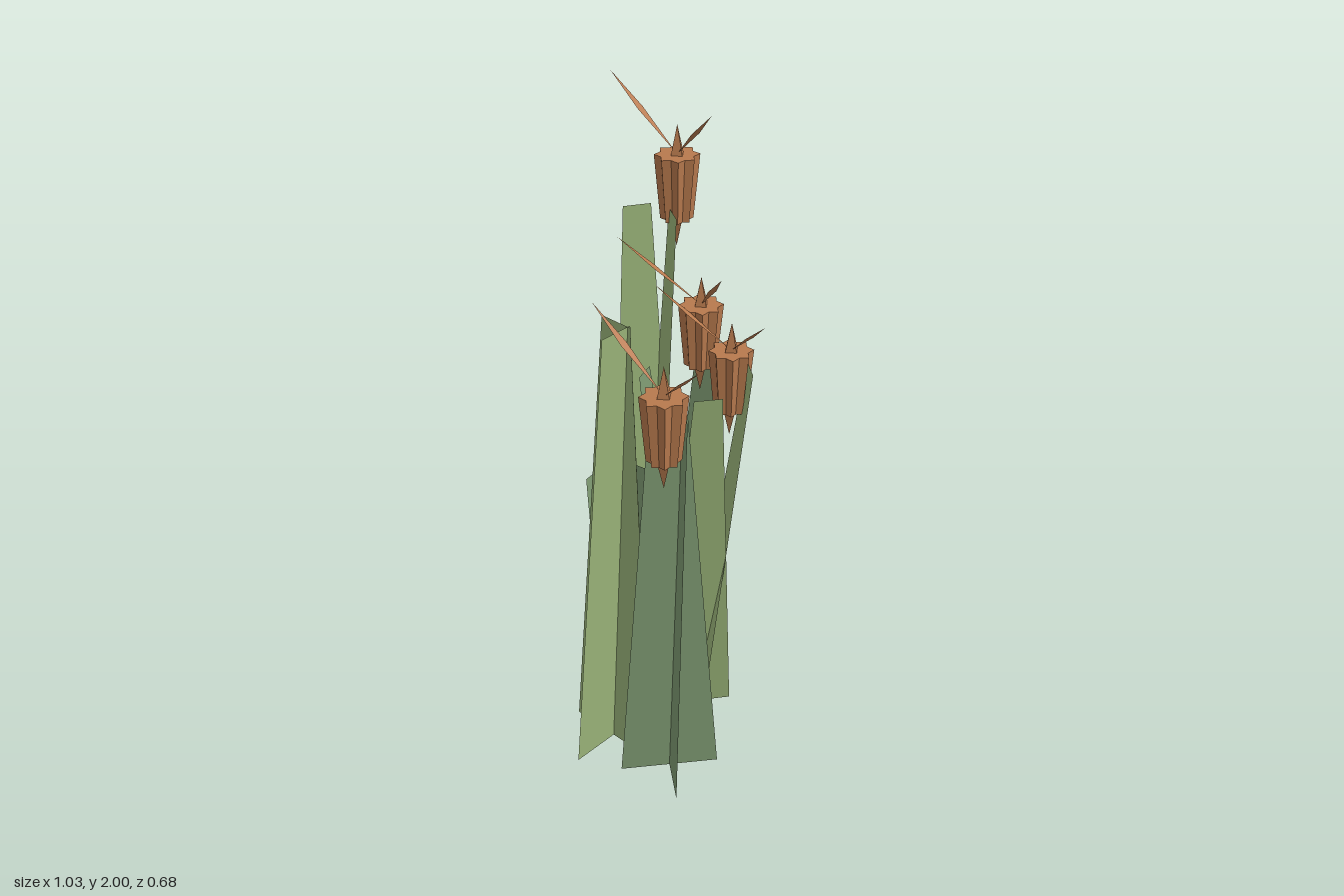
import * as THREE from 'three';

const material = (color, side = THREE.FrontSide) =>
  new THREE.MeshStandardMaterial({ color, side, flatShading: true });

const lightGreen = material(0x9bb57a, THREE.DoubleSide);
const blueGreen = material(0x7d9871, THREE.DoubleSide);
const copper = material(0xb87a4e);
const copperThin = material(0xb87a4e, THREE.DoubleSide);

// Flat four-cornered sheet
function quad(a, b, c, d) {
  const geo = new THREE.BufferGeometry();
  geo.setAttribute('position', new THREE.Float32BufferAttribute([...a, ...b, ...c, ...d], 3));
  geo.setIndex([0, 1, 2, 0, 2, 3]);
  geo.computeVertexNormals();
  return geo;
}

// Two crossed, tapering sheets, each leaning away from the centre
function createTuft({ x, z, height, base, top, lean, angle, mat }) {
  const tuft = new THREE.Group();
  tuft.name = 'leafTuft';
  const t = THREE.MathUtils.degToRad(angle);
  const d1 = [Math.cos(t), Math.sin(t)];
  const d2 = [-Math.sin(t), Math.cos(t)];
  for (const [along, away] of [[d1, d2], [d2, d1]]) {
    const corner = (s, y, shift) => [
      x + along[0] * s - away[0] * shift, y, z + along[1] * s - away[1] * shift];
    const blade = new THREE.Mesh(quad(
      corner(-base / 2, 0, 0), corner(base / 2, 0, 0),
      corner(top / 2, height, lean), corner(-top / 2, height, lean)), mat);
    blade.name = 'leafBlade';
    tuft.add(blade);
  }
  return tuft;
}

// Faceted flower head with a spindle core and two long slender petals
function createFlower({ x, top, z, petals }) {
  const flower = new THREE.Group();
  flower.name = 'flower';
  flower.position.set(x, top, z);

  // Crossed square cups
  for (const turn of [0.15, 0.15 + Math.PI / 4]) {
    const cup = new THREE.Mesh(new THREE.CylinderGeometry(0.067, 0.049, 0.2, 4), copper);
    cup.name = 'flowerCup';
    cup.position.y = -0.1;
    cup.rotation.y = turn;
    flower.add(cup);
  }

  // Spindle that points out above and below
  const spindle = new THREE.Mesh(new THREE.OctahedronGeometry(1), copper);
  spindle.name = 'flowerSpindle';
  spindle.scale.set(0.05, 0.19, 0.05);
  spindle.position.y = -0.1;
  flower.add(spindle);

  // Petals: long diamonds, widest past the middle
  for (const [dx, dz] of petals) {
    const length = Math.hypot(dx, dz);
    const [sx, sz] = [-dz / length * 0.012, dx / length * 0.012];
    const mid = [dx * 0.55, 0.11, dz * 0.55];
    const petal = new THREE.Mesh(quad(
      [0, 0, 0], [mid[0] + sx, mid[1], mid[2] + sz],
      [dx, 0.2, dz], [mid[0] - sx, mid[1], mid[2] - sz]), copperThin);
    petal.name = 'flowerPetal';
    flower.add(petal);
  }
  return flower;
}

export function createModel() {
  const model = new THREE.Group();
  model.name = 'floweringReeds';

  const tufts = [
    { x: -0.035, z: 0.18, height: 1.5, base: 0.32, top: 0.11, lean: 0.045, angle: 82, mat: lightGreen },
    { x: 0.183, z: 0.125, height: 1.3, base: 0.305, top: 0.105, lean: 0.04, angle: 31, mat: blueGreen },
    { x: -0.183, z: 0.013, height: 0.83, base: 0.23, top: 0.08, lean: 0.11, angle: -17.5, mat: blueGreen },
    { x: -0.275, z: -0.15, height: 1.645, base: 0.243, top: 0.085, lean: 0.085, angle: 24, mat: lightGreen },
    { x: 0.003, z: -0.125, height: 1.26, base: 0.24, top: 0.083, lean: 0.154, angle: 119, mat: lightGreen },
    { x: -0.12, z: -0.19, height: 1.15, base: 0.22, top: 0.075, lean: 0.143, angle: -27, mat: blueGreen },
  ];
  tufts.forEach((tuft) => model.add(createTuft(tuft)));

  const flowers = [
    { x: -0.285, top: 1.8, z: -0.28, petals: [[-0.23, 0.062], [0.225, 0.065]] },
    { x: 0.285, top: 1.45, z: 0.23, petals: [[-0.23, 0.055], [0.228, 0.075]] },
    { x: -0.105, top: 1.405, z: -0.225, petals: [[-0.185, 0.165], [0.215, 0.11]] },
    { x: 0.016, top: 1.3, z: -0.24, petals: [[-0.166, 0.155], [0.228, 0.08]] },
  ];
  flowers.forEach((flower) => model.add(createFlower(flower)));

  return model;
}
